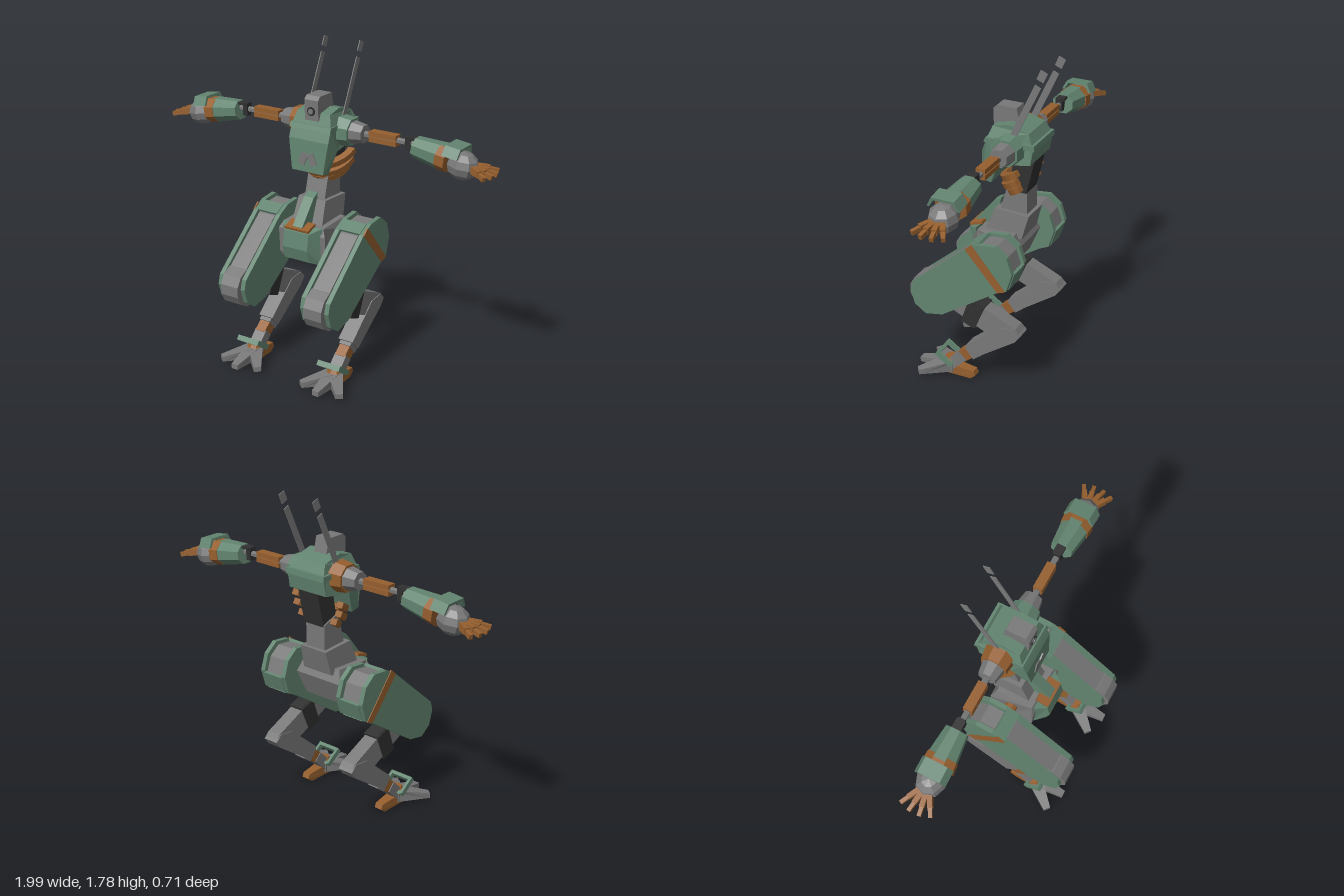
import * as THREE from 'three';

const flat = (name, color) => {
  const m = new THREE.MeshStandardMaterial({ color, flatShading: true });
  m.name = name;
  return m;
};

export function createModel() {
  const green = flat('armour green', 0x628470);
  const grey = flat('frame grey', 0x787878);
  const orange = flat('joint orange', 0x965f2e);
  const dark = flat('dark metal', 0x303030);

  const add = (parent, name, geo, mat, x = 0, y = 0, z = 0) => {
    const m = new THREE.Mesh(geo, mat);
    m.name = name;
    m.position.set(x, y, z);
    parent.add(m);
    return m;
  };
  const group = (parent, name, x = 0, y = 0, z = 0) => {
    const g = new THREE.Group();
    g.name = name;
    g.position.set(x, y, z);
    parent.add(g);
    return g;
  };
  // Side profile of [z, y] points, extruded from x0 to x1; widthAt(y, z) tapers it
  const prism = (pts, x0, x1, widthAt) => {
    const shape = new THREE.Shape(pts.map(p => new THREE.Vector2(p[0], p[1])));
    const geo = new THREE.ExtrudeGeometry(shape, { depth: x1 - x0, bevelEnabled: false });
    geo.rotateY(-Math.PI / 2).translate(x1, 0, 0);
    if (widthAt) {
      const p = geo.attributes.position;
      for (let i = 0; i < p.count; i++) p.setX(i, p.getX(i) * widthAt(p.getY(i), p.getZ(i)));
      geo.computeVertexNormals();
    }
    return geo;
  };
  // Box running between two [z, y] points, w wide in x and t thick
  const beam = (parent, name, a, b, w, t, mat, x = 0) => {
    const dz = b[0] - a[0], dy = b[1] - a[1];
    const m = add(parent, name, new THREE.BoxGeometry(w, Math.hypot(dz, dy), t), mat,
      x, (a[1] + b[1]) / 2, (a[0] + b[0]) / 2);
    m.rotation.x = Math.atan2(dz, dy);
    return m;
  };
  // Faceted tube along x
  const tubeX = (x0, x1, r0, r1, sides = 8, sy = 1, sz = 1) =>
    new THREE.CylinderGeometry(r1, r0, x1 - x0, sides).rotateY(Math.PI / sides)
      .rotateZ(-Math.PI / 2).translate((x0 + x1) / 2, 0, 0).scale(1, sy, sz);

  const model = new THREE.Group();
  model.name = 'walkingRobot';
  const body = group(model, 'body');
  body.rotation.y = -0.045;

  // Pelvis and waist
  const pelvis = group(body, 'pelvis', -0.01, 0, 0);
  add(pelvis, 'pelvisFrame', prism([[0.03, 0.66], [0.04, 0.8], [0.02, 0.84], [-0.19, 0.85],
    [-0.22, 0.78], [-0.17, 0.65], [-0.1, 0.62], [0.02, 0.63]], -0.147, 0.147,
    y => (y > 0.82 || y < 0.655 ? 0.85 : 1)), grey);
  add(pelvis, 'pelvisPlate', prism([[0.02, 0.63], [0.085, 0.66], [0.105, 0.73], [0.09, 0.82],
    [0.03, 0.845]], -0.125, 0.125, (y, z) => (z > 0.06 ? 0.62 : 1)), green);
  add(pelvis, 'pelvisBand', new THREE.BoxGeometry(0.15, 0.014, 0.075), orange, 0, 0.843, 0.055)
    .rotation.x = 0.3;
  add(pelvis, 'bellyPlate', prism([[-0.07, 1], [-0.03, 0.98], [0.08, 0.845], [0.05, 0.82],
    [-0.05, 0.86]], -0.03, 0.03), green);
  add(pelvis, 'hipAxle', tubeX(-0.22, 0.22, 0.035, 0.035, 8), orange, 0, 0.755, -0.1);
  add(pelvis, 'waist', prism([[-0.01, 0.83], [-0.22, 0.82], [-0.255, 0.955], [-0.06, 0.965]],
    -0.095, 0.095, y => (y > 0.9 ? 0.9 : 1)), grey);
  add(pelvis, 'abdomen', prism([[-0.08, 0.94], [-0.235, 0.94], [-0.235, 1.09], [-0.13, 1.13]],
    -0.063, 0.063), grey);

  // Torso
  const torso = group(body, 'torso');
  add(torso, 'spine', prism([[-0.13, 1.08], [-0.235, 1.08], [-0.285, 1.3], [-0.17, 1.3]],
    -0.065, 0.065), dark);
  add(torso, 'chest', prism([[-0.15, 1.46], [-0.06, 1.44], [-0.035, 1.37], [-0.01, 1.3],
    [0, 1.13], [-0.05, 1.12], [-0.1, 1.24], [-0.28, 1.27], [-0.295, 1.36], [-0.26, 1.43]],
    -0.122, 0.122, y => (y > 1.4 ? 0.82 : y < 1.2 ? 0.8 : 1)), green);
  add(torso, 'collar', prism([[-0.02, 1.355], [-0.03, 1.38], [-0.3, 1.38], [-0.303, 1.35]],
    -0.126, 0.126), green);
  [-1, 1].forEach(s => {
    const vent = add(torso, 'chestVent', new THREE.BoxGeometry(0.04, 0.065, 0.009), grey,
      s * 0.027, 1.2, -0.003);
    vent.rotation.z = s * 0.4;
  });
  // Sloping ribs below the chest
  [[0.17, 1.235], [0.162, 1.185], [0.13, 1.135]].forEach(([r, y]) => {
    const rib = new THREE.Shape();
    rib.absarc(0, 0, r, 0, Math.PI, false);
    rib.absarc(0, 0, r - 0.04, Math.PI, 0, true);
    const geo = new THREE.ExtrudeGeometry(rib, { depth: 0.032, bevelEnabled: false, curveSegments: 6 })
      .rotateX(Math.PI / 2).scale(1, 1, 0.95);
    add(torso, 'rib', geo, orange, -0.01, y, -0.21).rotation.x = 0.55;
  });

  // Head and aerials
  const head = group(body, 'head');
  add(head, 'headBlock', prism([[-0.04, 1.4], [-0.035, 1.51], [-0.055, 1.53], [-0.165, 1.53],
    [-0.19, 1.42]], -0.042, 0.042), grey);
  add(head, 'eyeRing', new THREE.CylinderGeometry(0.024, 0.024, 0.009, 10).rotateX(Math.PI / 2),
    dark, 0, 1.45, -0.036);
  add(head, 'eyeLens', new THREE.CylinderGeometry(0.015, 0.015, 0.008, 10).rotateX(Math.PI / 2),
    grey, 0, 1.45, -0.03);
  [-1, 1].forEach(s => {
    beam(head, 'aerial', [-0.18, 1.41], [-0.31, 1.695], 0.005, 0.035, grey, s * 0.11);
    beam(head, 'aerialTip', [-0.32, 1.725], [-0.342, 1.775], 0.005, 0.04, grey, s * 0.11);
  });

  // Arms, built outwards along x and turned round for the other side
  [-1, 1].forEach(s => {
    const arm = group(body, s > 0 ? 'leftArm' : 'rightArm', 0, s > 0 ? 1.338 : 1.352, -0.165);
    if (s < 0) arm.rotation.y = Math.PI;
    add(arm, 'shoulderCap', tubeX(0.105, 0.18, 0.085, 0.075, 8), s > 0 ? green : orange);
    add(arm, 'shoulder', tubeX(0.16, 0.25, 0.066, 0.05, 8), grey);
    add(arm, 'shoulderPin', tubeX(0.24, 0.56, 0.018, 0.016, 6), grey);
    [-1, 1].forEach(k => {
      add(arm, 'upperArm', new THREE.BoxGeometry(0.16, 0.026, 0.05), orange, 0.365, k * 0.0155);
    });
    add(arm, 'elbow', new THREE.BoxGeometry(0.03, 0.07, 0.04), dark, 0.51, 0);
    add(arm, 'elbowLever', new THREE.BoxGeometry(0.05, 0.012, 0.05), dark, 0.53, 0.028);

    const fore = group(arm, 'forearm', 0.5, -0.005, 0);
    fore.rotation.z = -0.14;
    add(fore, 'forearmSleeve', tubeX(0.05, 0.215, 0.058, 0.075, 8, 0.95, 1.08), green);
    add(fore, 'forearmBand', tubeX(0.195, 0.25, 0.076, 0.08, 8, 0.9, 1.1), orange);
    // Open shield covering the back of the hand
    const shield = prism([[-0.085, 0.035], [-0.06, 0.085], [0.06, 0.085], [0.085, 0.035],
      [0.072, 0.035], [0.05, 0.072], [-0.05, 0.072], [-0.072, 0.035]], 0.235, 0.32);
    add(fore, 'handShield', shield, green);
    add(fore, 'palm', new THREE.SphereGeometry(0.078, 8, 6).scale(1.1, 0.95, 1), grey, 0.32, -0.012, 0);
    [-0.5, -0.17, 0.17, 0.5].forEach(a => {
      const finger = group(fore, 'finger', 0.33, -0.005, 0);
      finger.rotation.y = a;
      add(finger, 'fingerBase', new THREE.BoxGeometry(0.08, 0.034, 0.026), orange, 0.085);
      add(finger, 'fingerTip', new THREE.BoxGeometry(0.06, 0.024, 0.02), orange, 0.14, -0.004)
        .rotation.z = -0.1;
    });
  });

  // Legs
  const thighOutline = [[-0.19, 0.89], [-0.255, 0.84], [-0.285, 0.75], [-0.255, 0.65], [-0.2, 0.625],
    [0.12, 0.41], [0.22, 0.39], [0.285, 0.435], [0.31, 0.515], [0.295, 0.57], [-0.02, 0.84], [-0.095, 0.88]];
  const inset = thighOutline.map(([z, y]) => [0.015 + (z - 0.015) * 0.96, 0.64 + (y - 0.64) * 0.94]);
  [-1, 1].forEach(s => {
    const leg = group(body, s > 0 ? 'leftLeg' : 'rightLeg', s * 0.265 - 0.014, 0, 0);
    add(leg, 'thighCore', prism(inset, -0.052, 0.052), grey);
    [-1, 1].forEach(k => {
      const c = k * 0.074;
      add(leg, 'thighPanel', prism(thighOutline, c - 0.013, c + 0.013), green);
    });
    add(leg, 'hipBand', prism([[-0.057, 0.872], [-0.02, 0.84], [-0.205, 0.629], [-0.248, 0.645]],
      s * 0.087 - 0.004, s * 0.087 + 0.004), orange);
    beam(leg, 'hipRearPlate', [-0.28, 0.745], [-0.252, 0.655], 0.126, 0.016, green);
    beam(leg, 'hipLowerPlate', [-0.255, 0.655], [-0.2, 0.632], 0.126, 0.016, green);
    beam(leg, 'hipFrontPlate', [-0.09, 0.873], [-0.025, 0.837], 0.126, 0.016, green);
    beam(leg, 'thighUnderside', [-0.19, 0.63], [0.12, 0.422], 0.12, 0.02, green);
    add(leg, 'kneeRoller', tubeX(-0.055, 0.055, 0.11, 0.11, 12), grey, 0, 0.5, 0.222);

    // Rearward shank, then the shin coming forward to the foot
    add(leg, 'rearShank', prism([[0.11, 0.44], [0.0, 0.53], [-0.285, 0.402], [-0.308, 0.37],
      [-0.29, 0.34], [-0.19, 0.3]], -0.04, 0.04), grey);
    beam(leg, 'shankClamp', [0.005, 0.45], [-0.085, 0.42], 0.078, 0.155, dark);
    add(leg, 'shankClampPlate', prism([[0.03, 0.375], [-0.05, 0.345], [-0.11, 0.49], [-0.02, 0.52]],
      -0.047, 0.047), dark);
    add(leg, 'shin', prism([[-0.315, 0.365], [-0.285, 0.325], [-0.05, 0.16], [0.005, 0.222],
      [-0.19, 0.39], [-0.28, 0.4]], -0.045, 0.045), grey);
    beam(leg, 'shinLower', [-0.06, 0.21], [-0.01, 0.17], 0.07, 0.08, grey);
    beam(leg, 'shinSleeve', [-0.02, 0.18], [0.04, 0.13], 0.062, 0.066, orange);
    beam(leg, 'ankle', [0.03, 0.14], [0.11, 0.06], 0.07, 0.06, grey);

    // Ankle guard frame, raised at the front
    const guard = group(leg, 'ankleGuard', 0, 0.11, 0.125);
    guard.rotation.x = -0.6;
    add(guard, 'guardFront', new THREE.BoxGeometry(0.14, 0.03, 0.02), green, 0, 0, 0.05);
    [-1, 1].forEach(k =>
      add(guard, 'guardSide', new THREE.BoxGeometry(0.016, 0.03, 0.1), green, k * 0.062, 0, 0));
    add(guard, 'guardBack', new THREE.BoxGeometry(0.12, 0.012, 0.02), green, 0, 0, -0.045);

    // Foot with three toes and a heel
    const foot = group(leg, 'foot', 0, 0.02, 0.11);
    [-0.7, 0, 0.7].forEach(a => {
      add(foot, 'toe', prism([[-0.02, 0], [-0.02, 0.06], [0.03, 0.065], [0.19, 0.028], [0.19, 0]],
        -0.04, 0.04, (y, z) => (z > 0.1 ? 0.5 : 1)), grey).rotation.y = a;
    });
    add(foot, 'heel', prism([[0.03, -0.012], [0.02, 0.045], [-0.14, 0.03], [-0.15, 0.005],
      [-0.12, -0.02]], -0.035, 0.035, (y, z) => (z < -0.1 ? 0.65 : 1)), orange);
    add(foot, 'footHub', new THREE.CylinderGeometry(0.035, 0.05, 0.03, 8), orange, 0, 0.07, 0);
  });

  return model;
}
